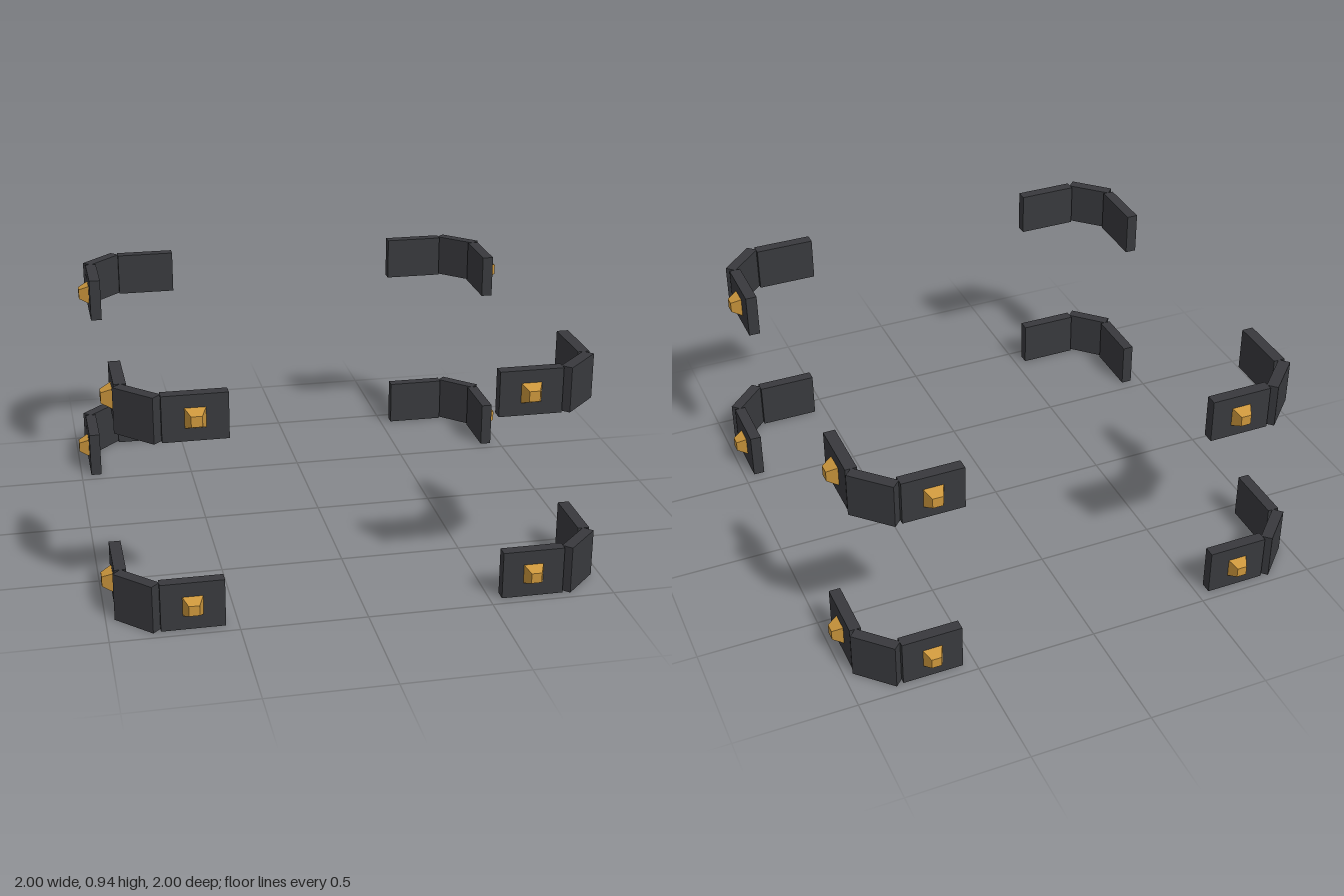
import * as THREE from 'three';

const dark = new THREE.MeshStandardMaterial({ color: 0x38393d, flatShading: true });
const gold = new THREE.MeshStandardMaterial({ color: 0xcb963c, flatShading: true });
const T = 0.047; // plate thickness

function part(name, geometry, material, x, y, z, turn = 0) {
  const mesh = new THREE.Mesh(geometry, material);
  mesh.name = name;
  mesh.position.set(x, y, z);
  mesh.rotation.y = turn;
  return mesh;
}

// One corner guard: an angled middle plate and two studded side plates
function cornerGuard(outer, height) {
  const guard = new THREE.Group();
  const face = outer - 0.008; // outer face of the side plates
  const mid = outer - 0.29; // centre of each side plate along the wall
  const side = new THREE.BoxGeometry(0.25, height, T);
  const middle = new THREE.BoxGeometry(0.191, height, T);

  // Square stud tapering outwards along +z
  const stud = new THREE.CylinderGeometry(0.042 / Math.SQRT2, 0.08 / Math.SQRT2, 0.043, 4);
  stud.rotateY(Math.PI / 4).rotateX(Math.PI / 2);

  const c = outer - 0.0675 - T / 2 / Math.SQRT2;
  guard.add(
    part('anglePlate', middle, dark, c, 0, c, Math.PI / 4),
    part('frontPlate', side, dark, mid, 0, face - T / 2),
    part('frontStud', stud, gold, mid, 0, face + 0.0215),
    part('sidePlate', side, dark, face - T / 2, 0, mid, Math.PI / 2),
    part('sideStud', stud, gold, face + 0.0215, 0, mid, Math.PI / 2)
  );
  return guard;
}

export function createModel() {
  const model = new THREE.Group();
  model.name = 'cornerGuards';
  // Two levels, four corners each
  const levels = [
    { name: 'lowerGuard', outer: 0.965, height: 0.197, y: 0.0985 },
    { name: 'upperGuard', outer: 0.93, height: 0.182, y: 0.853 }
  ];
  for (const { name, outer, height, y } of levels) {
    for (let i = 0; i < 4; i++) {
      const guard = cornerGuard(outer, height);
      guard.name = name + (i + 1);
      guard.position.y = y;
      guard.rotation.y = (i * Math.PI) / 2;
      model.add(guard);
    }
  }
  return model;
}
